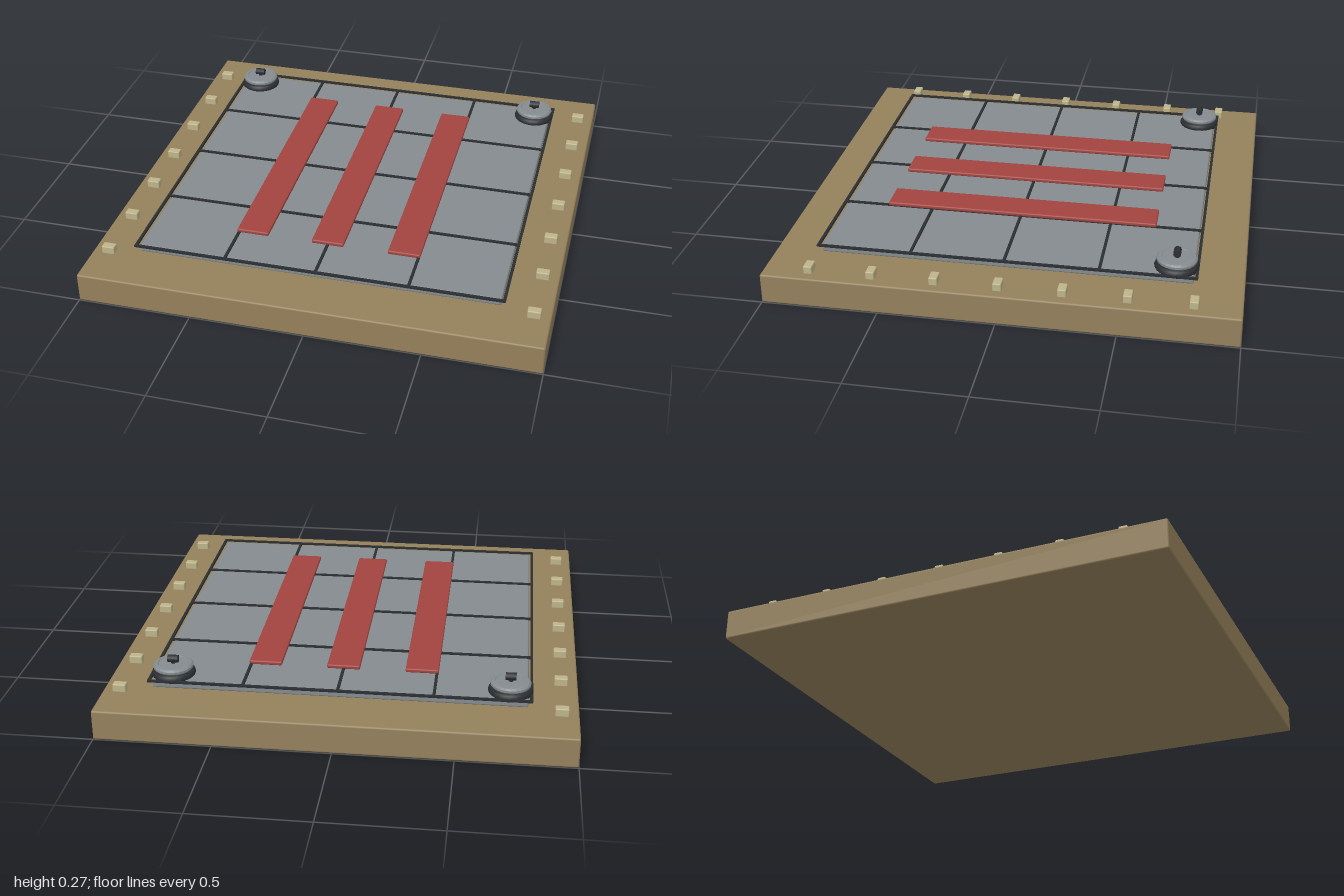
import * as THREE from 'three';
import { RoundedBoxGeometry } from 'three/addons/geometries/RoundedBoxGeometry.js';

const material = (name, color) => {
  const m = new THREE.MeshStandardMaterial({ color });
  m.name = name;
  return m;
};

export function createModel() {
  const model = new THREE.Group();
  const wood = material('tan base', 0x94805b);
  const steel = material('grey steel', 0x858b8f);
  const red = material('red stripe', 0xa24440);
  const dark = material('dark seam', 0x2b2e31);
  const cream = material('cream stud', 0xbdb48a);

  const add = (name, geometry, mat, x, y, z, parent = model) => {
    const mesh = new THREE.Mesh(geometry, mat);
    mesh.name = name;
    mesh.position.set(x, y, z);
    parent.add(mesh);
    return mesh;
  };
  // Softly bevelled slab given by its bottom and top heights
  const slab = (name, mat, x, z, w, d, y0, y1, bevel) =>
    add(name, new RoundedBoxGeometry(w, y1 - y0, d, 2, bevel), mat, x, (y0 + y1) / 2, z);

  // Base and the raised deck plate
  slab('base', wood, 0, 0, 2, 2, 0, 0.133, 0.008);
  slab('deckPlate', steel, 0, 0, 1.58, 1.58, 0.147, 0.181, 0.008);

  // Grid of dark seams, the outer ones framing the plate
  for (let i = -2; i <= 2; i++) {
    add('seamAlong', new THREE.BoxGeometry(0.012, 0.009, 1.616), dark, i * 0.401, 0.1835, 0);
    add('seamAcross', new THREE.BoxGeometry(1.616, 0.009, 0.012), dark, 0, 0.1835, i * 0.401);
  }

  // Three long red stripes
  for (const x of [-0.338, 0, 0.338]) slab('stripe', red, x, 0, 0.142, 1.202, 0.183, 0.201, 0.006);

  // Studs along both sides
  for (const side of [-1, 1]) {
    for (let i = -3; i <= 3; i++) {
      slab('stud', cream, side * 0.928, i * 0.268, 0.057, 0.037, 0.13, 0.167, 0.005);
    }
  }

  // Round hatches in the back corners: gasket ring, stepped lid and grip
  const lidProfile = [[0, 0.17], [0.066, 0.17], [0.066, 0.204], [0.079, 0.208], [0.085, 0.215],
    [0.085, 0.224], [0.078, 0.231], [0.066, 0.232], [0.064, 0.229], [0, 0.229]]
    .map(([r, y]) => new THREE.Vector2(r, y));
  for (const side of [-1, 1]) {
    const hatch = new THREE.Group();
    hatch.name = 'hatch';
    hatch.position.set(side * 0.714, 0, -0.714);
    model.add(hatch);
    const ring = new THREE.TorusGeometry(0.075, 0.019, 8, 24).rotateX(Math.PI / 2);
    add('hatchRing', ring, dark, 0, 0.188, 0, hatch);
    const lid = new THREE.LatheGeometry(lidProfile, 24).toNonIndexed();
    lid.computeVertexNormals();
    add('hatchLid', lid, steel, 0, 0, 0, hatch);
    const grip = new THREE.CylinderGeometry(0.016, 0.016, 0.045, 12).rotateZ(Math.PI / 2);
    add('hatchGrip', grip, dark, 0, 0.25, 0, hatch);
    add('gripPost', new THREE.CylinderGeometry(0.01, 0.01, 0.02, 8), dark, 0, 0.235, 0, hatch);
  }
  return model;
}
